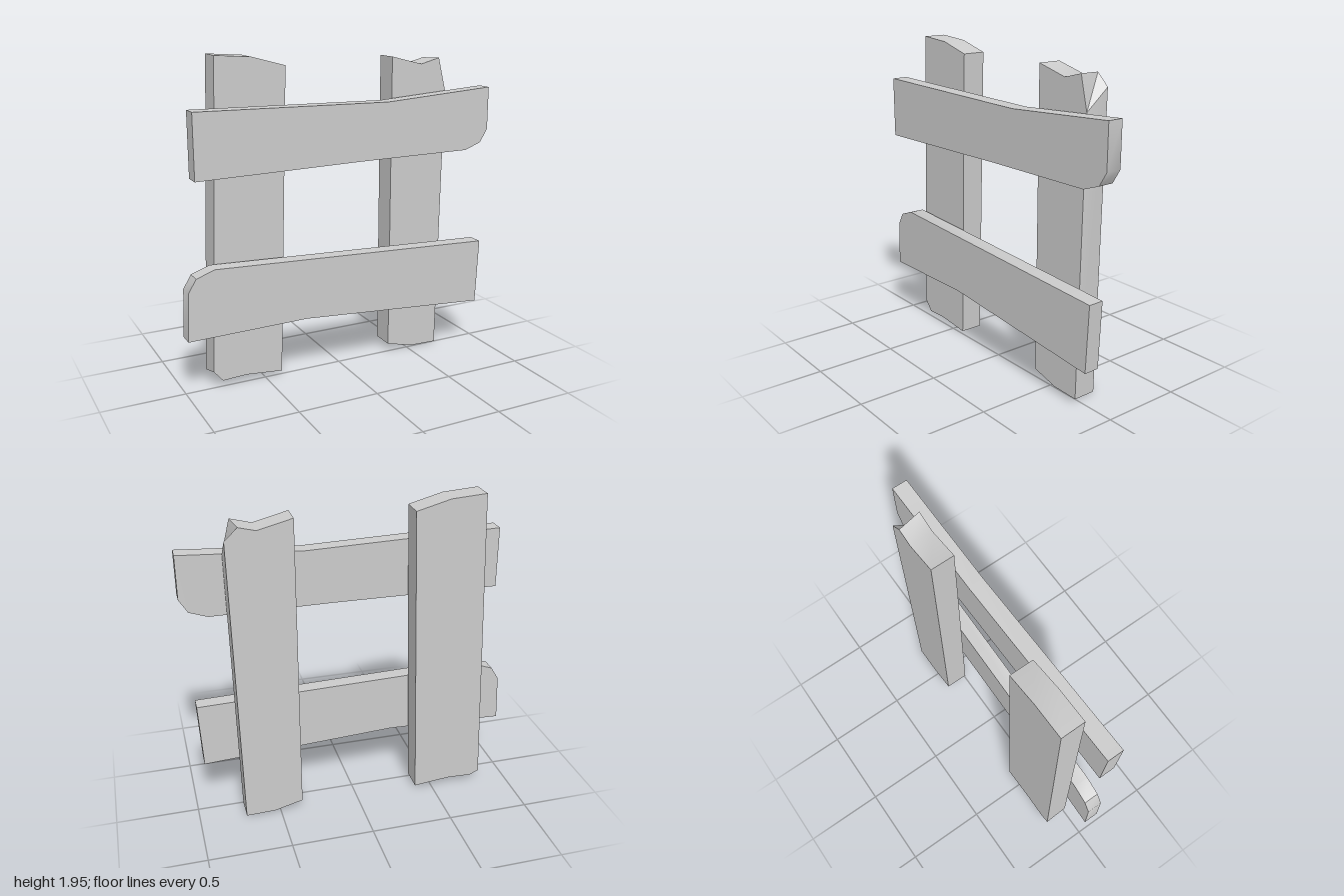
import * as THREE from 'three';
import { toCreasedNormals } from 'three/addons/utils/BufferGeometryUtils.js';

// Plank from a counter-clockwise outline; zBack(x) and zFront(x) place its faces.
// A separate back outline (same point count) allows chipped corners.
function plank(name, front, zBack, zFront, back = front) {
  const f = front.map(([x, y]) => new THREE.Vector3(x, y, zFront(x)));
  const b = back.map(([x, y]) => new THREE.Vector3(x, y, zBack(x)));
  const points = [];
  const cap = (pts, flip) => {
    const flat = pts.map((p) => new THREE.Vector2(p.x, p.y));
    for (const [i, j, k] of THREE.ShapeUtils.triangulateShape(flat, [])) {
      points.push(pts[i], pts[flip ? k : j], pts[flip ? j : k]);
    }
  };
  cap(f, false);
  cap(b, true);
  for (let i = 0; i < f.length; i++) {
    const j = (i + 1) % f.length;
    points.push(f[i], b[i], b[j], f[i], b[j], f[j]);
  }
  const geometry = toCreasedNormals(new THREE.BufferGeometry().setFromPoints(points), 0.6);
  const mesh = new THREE.Mesh(geometry, new THREE.MeshStandardMaterial({ color: 0xcccccc }));
  mesh.name = name;
  return mesh;
}

export function createModel() {
  const group = new THREE.Group();
  group.name = 'fence';

  // Upright posts, each with one chipped corner on the front
  const postBack = () => -0.145;
  const postFront = () => 0;

  const rightPost = [
    [-0.825, 0.1], [-0.77, 0.035], [-0.62, 0.042], [-0.39, 0.02],
    [-0.335, 1.875], [-0.54, 1.93], [-0.755, 1.945],
  ];
  const rightPostBack = rightPost.map((p) => [...p]);
  rightPostBack[0] = [-0.827, 0.06];
  group.add(plank('rightPost', rightPost, postBack, postFront, rightPostBack));

  const leftPost = [
    [0.36, 0.05], [0.535, 0.005], [0.715, 0], [0.74, 1.68],
    [0.69, 1.878], [0.565, 1.845], [0.36, 1.897],
  ];
  const leftPostBack = leftPost.map((p) => [...p]);
  leftPostBack[3] = [0.742, 1.8];
  leftPostBack[4] = [0.665, 1.871];
  group.add(plank('leftPost', leftPost, postBack, postFront, leftPostBack));

  // Cross rails, nailed on slightly askew with one rounded end corner each
  const upperBack = (x) => 0.023 - 0.018 * x;
  group.add(plank('upperRail', [
    [-0.935, 1.29], [0.1, 1.305], [0.84, 1.308], [0.95, 1.348], [1, 1.43],
    [1, 1.693], [0.27, 1.645], [-0.935, 1.667],
  ], upperBack, (x) => 0.121 - 0.02 * x));

  const lowerBack = (x) => 0.026 + 0.02 * x;
  group.add(plank('lowerRail', [
    [-1, 0.362], [-0.27, 0.38], [0.932, 0.3], [0.95, 0.707],
    [-0.83, 0.77], [-0.94, 0.73], [-0.988, 0.65],
  ], lowerBack, (x) => 0.121 + 0.02 * x));

  return group;
}
